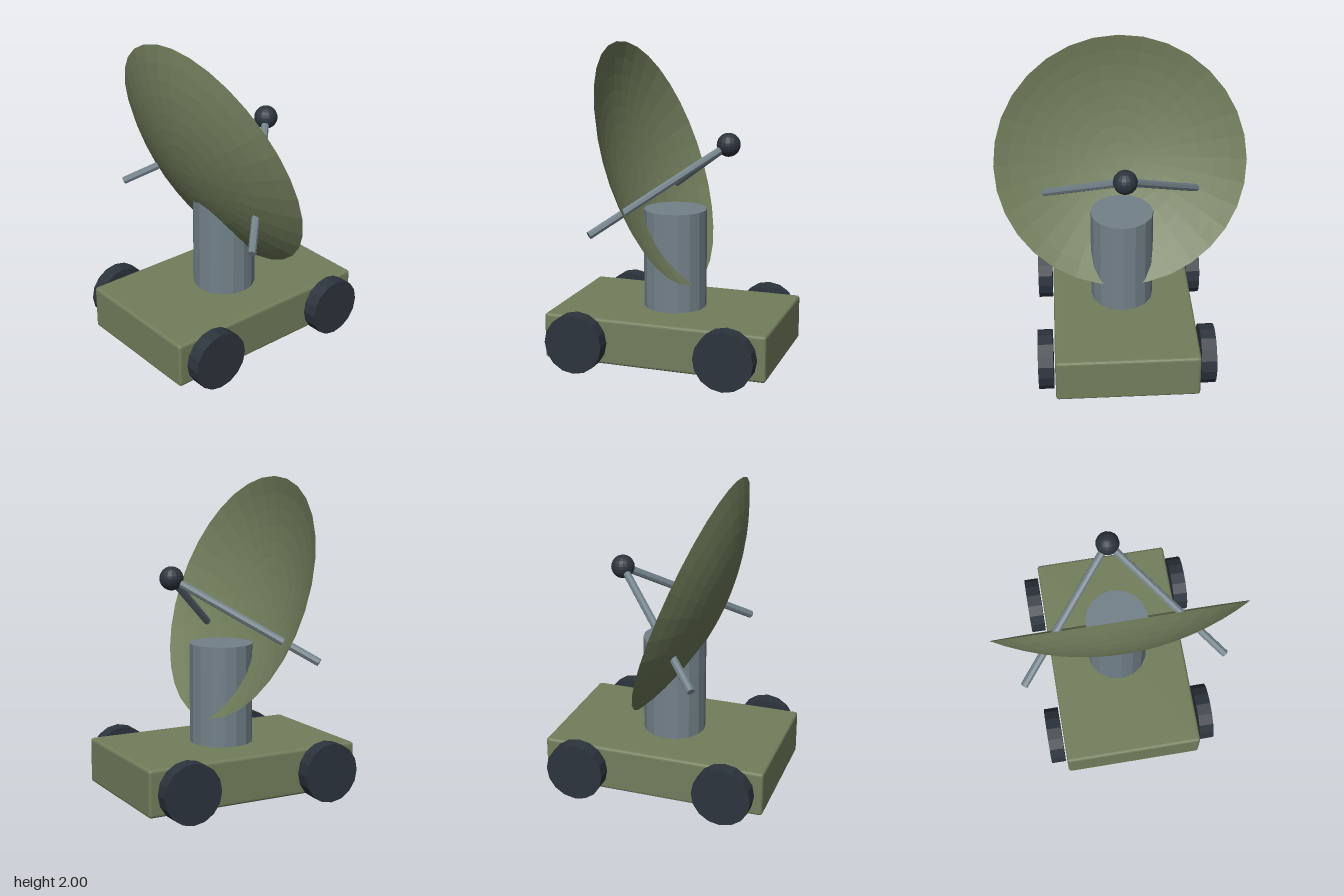
import * as THREE from 'three';
import { RoundedBoxGeometry } from 'three/addons/geometries/RoundedBoxGeometry.js';

export function createModel() {
  const group = new THREE.Group();
  const material = (name, color) =>
    Object.assign(new THREE.MeshStandardMaterial({ color, flatShading: true, side: THREE.DoubleSide }), { name });
  const olive = material('olive paint', 0x727e5c);
  const steel = material('grey steel', 0x73818a);
  const dark = material('dark rubber', 0x2c343d);
  const up = new THREE.Vector3(0, 1, 0);

  function add(name, geometry, mat, x = 0, y = 0, z = 0) {
    const mesh = new THREE.Mesh(geometry, mat);
    mesh.name = name;
    mesh.position.set(x, y, z);
    group.add(mesh);
    return mesh;
  }

  // Wheeled base
  add('chassis', new RoundedBoxGeometry(1.43, 0.29, 0.9, 2, 0.018), olive, 0, 0.19, 0);
  for (const x of [-0.48, 0.48]) {
    for (const z of [-0.508, 0.508]) {
      const wheel = add('wheel', new THREE.CylinderGeometry(0.187, 0.187, 0.095, 16), dark, x, 0.187, z);
      wheel.rotation.x = Math.PI / 2;
    }
  }

  // Mast
  add('mast', new THREE.CylinderGeometry(0.2, 0.2, 0.64, 16), steel, 0, 0.645, 0);

  // Tilted dish: a shallow spherical cap facing +x and slightly up
  const tilt = THREE.MathUtils.degToRad(20);
  const axis = new THREE.Vector3(Math.cos(tilt), Math.sin(tilt), 0);
  const halfAngle = 0.5;
  const radius = 0.797 / Math.sin(halfAngle);
  const dish = add('dish', new THREE.SphereGeometry(radius, 32, 8, 0, Math.PI * 2, 0, halfAngle), olive, -0.114, 1.255, 0);
  dish.position.addScaledVector(axis, radius * Math.cos(halfAngle));
  dish.quaternion.setFromUnitVectors(up, axis.clone().negate());

  // Receiver ball and the two struts that pass through the dish
  const focus = new THREE.Vector3(0.345, 1.39, 0);
  add('receiver', new THREE.SphereGeometry(0.074, 16, 12), dark, ...focus.toArray());
  for (const side of [-1, 1]) {
    const end = new THREE.Vector3(-0.32, 0.912, 0.64 * side);
    const span = focus.clone().sub(end);
    const strut = add('strut', new THREE.CylinderGeometry(0.025, 0.025, span.length(), 8), steel);
    strut.position.copy(end).addScaledVector(span, 0.5);
    strut.quaternion.setFromUnitVectors(up, span.normalize());
  }

  return group;
}
